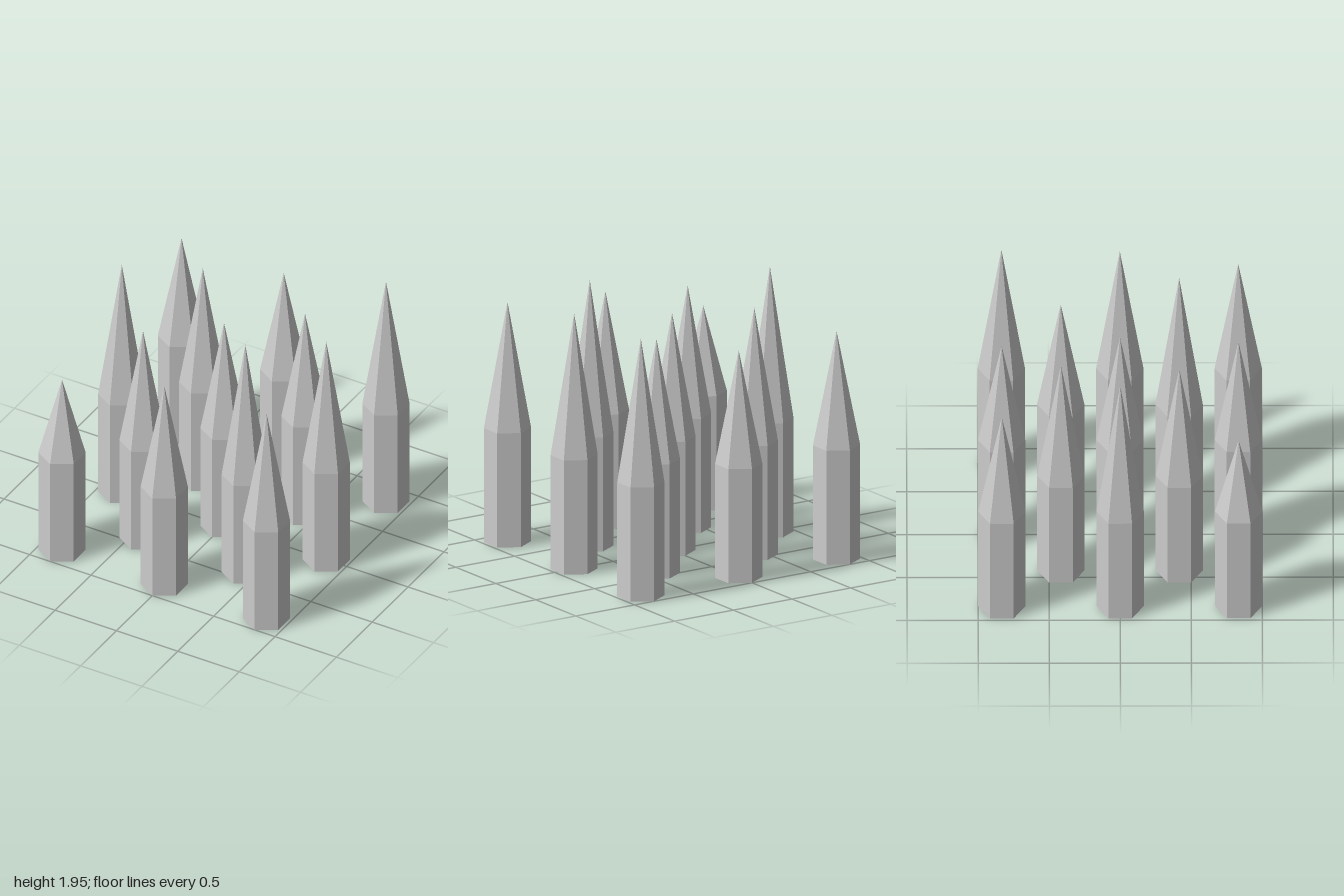
import * as THREE from 'three';

const RADIUS = 1 / 6;        // corner radius of the hexagon
const SHAFT = 0.835;         // height of the straight part
const STEP = 5 / 12;         // grid spacing of the staggered rows

// Tip heights, row by row from back to front, left to right along x
const ROWS = [
  { cols: [-2, 0, 2], tips: [1.67, 1.665, 1.885] },
  { cols: [-1, 1], tips: [1.81, 1.715] },
  { cols: [-2, 0, 2], tips: [1.945, 1.74, 1.87] },
  { cols: [-1, 1], tips: [1.775, 1.95] },
  { cols: [-2, 0, 2], tips: [1.46, 1.70, 1.757] },
];

export function createModel() {
  const group = new THREE.Group();
  group.name = 'spikeField';
  const material = new THREE.MeshStandardMaterial({ color: 0xcccccc, flatShading: true });

  // Hexagonal prism shared by every spike, standing on y = 0
  const shaftGeometry = new THREE.CylinderGeometry(RADIUS, RADIUS, SHAFT, 6);
  shaftGeometry.translate(0, SHAFT / 2, 0);

  // One spike: straight shaft with a six-sided point of its own height
  function createSpike(tipHeight) {
    const spike = new THREE.Group();
    spike.name = 'spike';
    const shaft = new THREE.Mesh(shaftGeometry, material);
    shaft.name = 'shaft';
    const length = tipHeight - SHAFT;
    const point = new THREE.Mesh(new THREE.ConeGeometry(RADIUS, length, 6, 1, true), material);
    point.name = 'point';
    point.position.y = SHAFT + length / 2;
    spike.add(shaft, point);
    return spike;
  }

  // Staggered rows of spikes
  ROWS.forEach(({ cols, tips }, row) => {
    cols.forEach((col, i) => {
      const spike = createSpike(tips[i]);
      spike.position.set(col * STEP, 0, (row - 2) * STEP);
      group.add(spike);
    });
  });

  return group;
}
